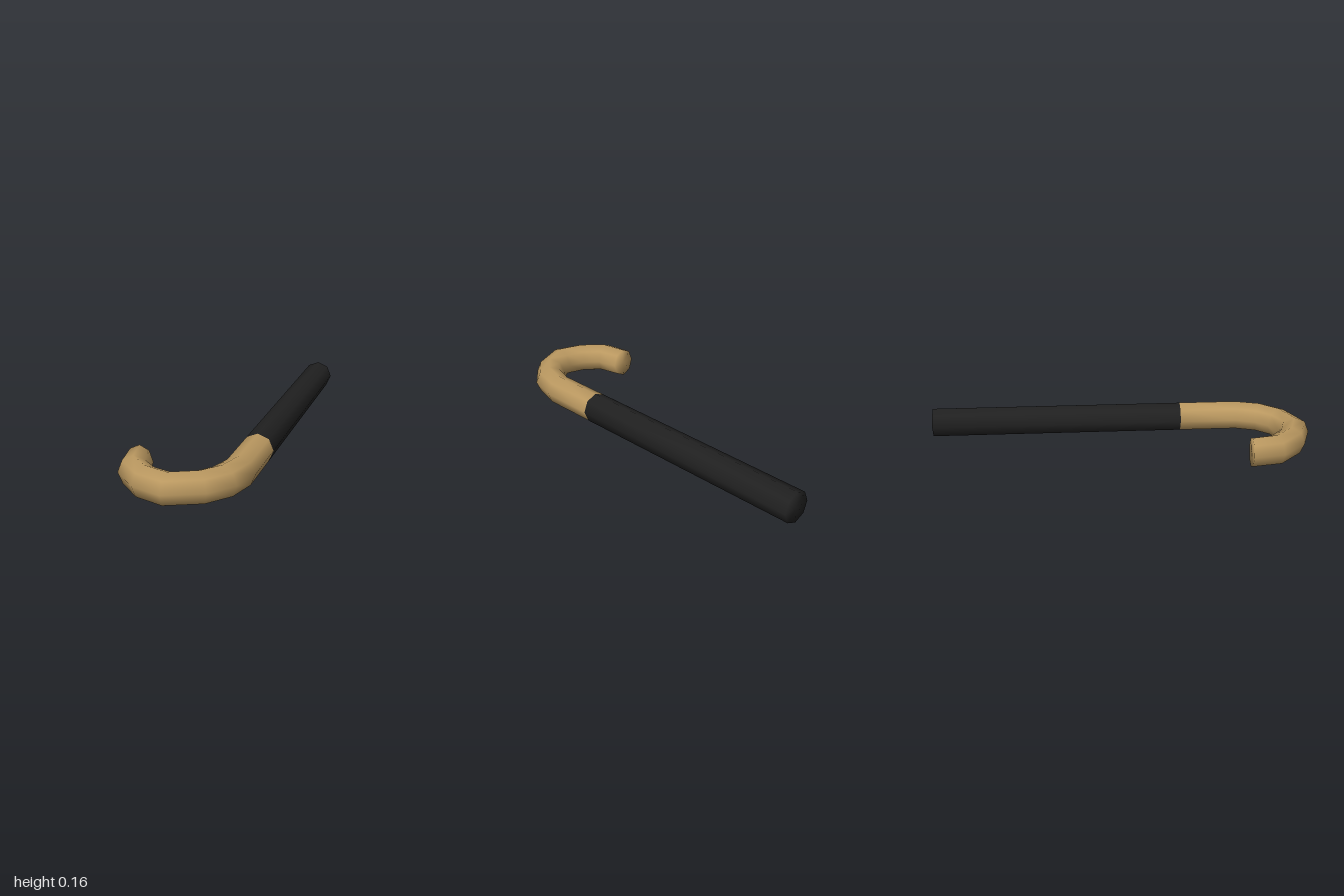
import * as THREE from 'three';

const SIDES = 8;
const RADIUS = 0.08;

// Octagonal tube through rings given as [outerX, outerZ, innerX, innerZ].
// Caps share the rim vertices so their shading stays soft.
function tube(rings, capStart, capEnd) {
  const pos = [], idx = [];
  for (const [ox, oz, ix, iz] of rings) {
    const cx = (ox + ix) / 2, cz = (oz + iz) / 2;
    for (let j = 0; j < SIDES; j++) {
      const a = (j / SIDES) * Math.PI * 2, c = Math.cos(a);
      pos.push(cx + (ox - cx) * c, RADIUS + RADIUS * Math.sin(a), cz + (oz - cz) * c);
    }
  }
  for (let i = 0; i < rings.length - 1; i++) {
    for (let j = 0; j < SIDES; j++) {
      const k = (j + 1) % SIDES;
      const a = i * SIDES + j, b = i * SIDES + k;
      idx.push(a, b, b + SIDES, a, b + SIDES, a + SIDES);
    }
  }
  const cap = (ring, flip) => {
    const [ox, oz, ix, iz] = rings[ring];
    const centre = pos.length / 3, base = ring * SIDES;
    pos.push((ox + ix) / 2, RADIUS, (oz + iz) / 2);
    for (let j = 0; j < SIDES; j++) {
      const a = base + j, b = base + ((j + 1) % SIDES);
      if (flip) idx.push(centre, b, a);
      else idx.push(centre, a, b);
    }
  };
  if (capStart) cap(0, true);
  if (capEnd) cap(rings.length - 1, false);

  const geo = new THREE.BufferGeometry();
  geo.setAttribute('position', new THREE.Float32BufferAttribute(pos, 3));
  geo.setIndex(idx);
  geo.computeVertexNormals();
  return geo;
}

export function createModel() {
  const black = new THREE.MeshStandardMaterial({ color: 0x202020 });
  black.name = 'black';
  const tan = new THREE.MeshStandardMaterial({ color: 0xba9860 });
  tan.name = 'tan wood';

  const group = new THREE.Group();
  group.name = 'cane';
  const add = (name, geo, mat) => {
    const mesh = new THREE.Mesh(geo, mat);
    mesh.name = name;
    group.add(mesh);
  };

  // Straight shaft, closed at the far tip
  add('shaft', tube([
    [0.316, -1, 0.157, -1],
    [0.316, 0.34, 0.157, 0.34],
  ], true, false), black);

  // Hooked handle, closed at its tip
  add('handle', tube([
    [0.316, 0.34, 0.157, 0.34],
    [0.316, 0.645, 0.157, 0.645],
    [0.275, 0.8, 0.125, 0.74],
    [0.175, 0.92, 0.075, 0.8],
    [-0.01, 1, 0, 0.84],
    [-0.165, 0.943, -0.09, 0.812],
    [-0.29, 0.812, -0.153, 0.755],
    [-0.316, 0.65, -0.18, 0.65],
  ], false, true), tan);

  return group;
}
